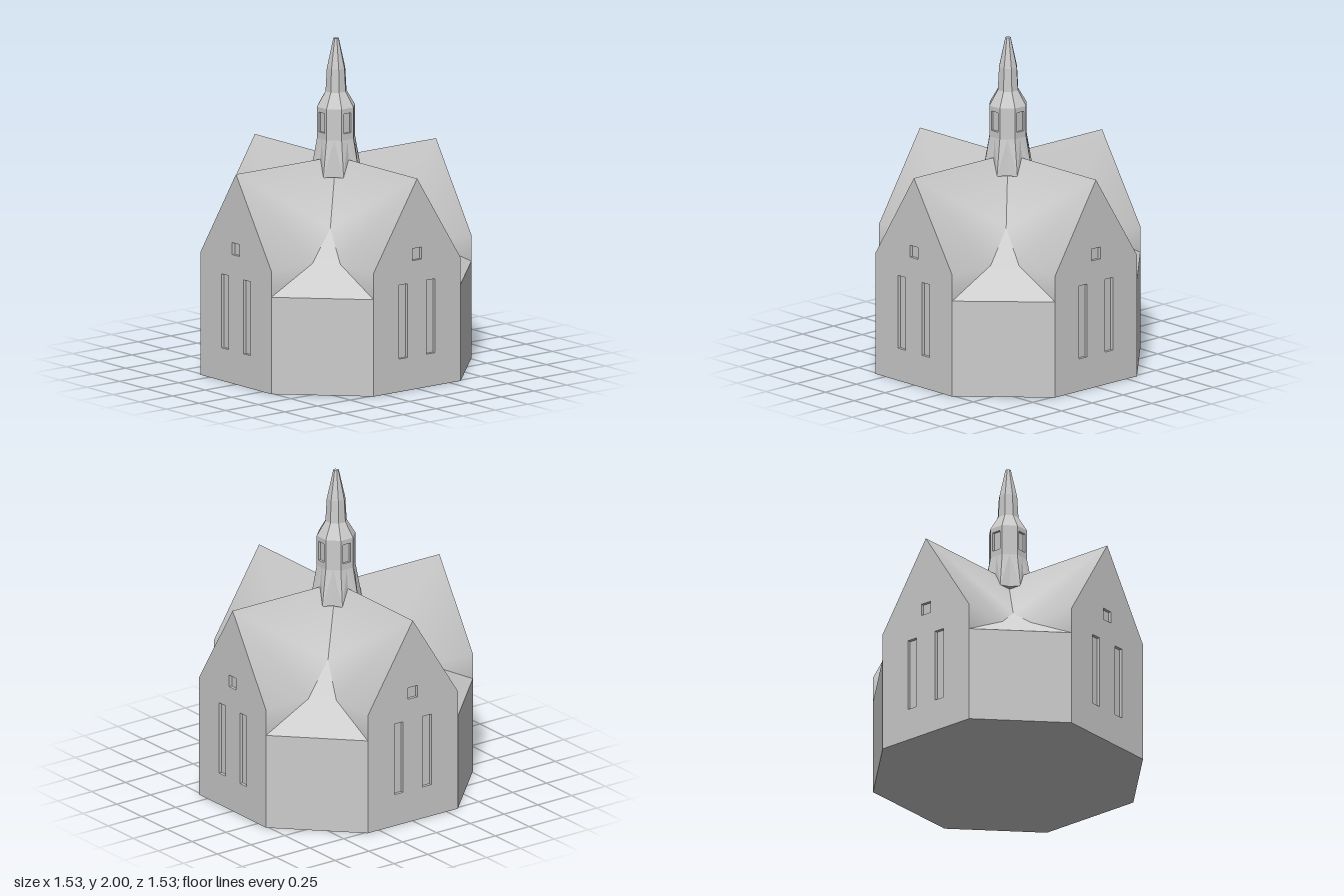
import * as THREE from 'three';
import { toCreasedNormals } from 'three/addons/utils/BufferGeometryUtils.js';

const HALF = 0.333, OUT = 0.765;              // gable half width, distance from the centre
const EAVE = 0.75, RIDGE = 1.28, LOW = 0.59;  // wing eave, ridge, corner eave

const stone = new THREE.MeshStandardMaterial({ color: 0xcccccc });
stone.name = 'paleGrey';

function mesh(name, geometry) {
  const m = new THREE.Mesh(geometry, stone);
  m.name = name;
  return m;
}

function fromTriangles(points) {
  const g = new THREE.BufferGeometry().setFromPoints(points);
  g.computeVertexNormals();
  return g;
}

// Fan of triangles turned to face away from the middle of the building
function fan(out, pts) {
  const mid = new THREE.Vector3(0, 0.3, 0);
  const centre = pts.reduce((s, p) => s.add(p), new THREE.Vector3()).divideScalar(pts.length);
  const n = new THREE.Vector3();
  for (let i = 1; i < pts.length - 1; i++) {
    n.add(pts[i].clone().sub(pts[0]).cross(pts[i + 1].clone().sub(pts[0])));
  }
  const flip = n.dot(centre.sub(mid)) < 0;
  for (let i = 1; i < pts.length - 1; i++) {
    out.push(pts[0], ...(flip ? [pts[i + 1], pts[i]] : [pts[i], pts[i + 1]]));
  }
}

// Flat wall with rectangular window recesses; windows are [x0, x1, y0, y1]
function windowWall(name, outline, windows, z, depth) {
  const group = new THREE.Group();
  group.name = name;
  const shape = new THREE.Shape(outline.map(([x, y]) => new THREE.Vector2(x, y)));
  for (const [x0, x1, y0, y1] of windows) {
    shape.holes.push(new THREE.Path([[x0, y0], [x0, y1], [x1, y1], [x1, y0]]
      .map(([x, y]) => new THREE.Vector2(x, y))));
    // Inside of a box without its front
    const box = new THREE.BoxGeometry(x1 - x0, y1 - y0, depth);
    const idx = Array.from(box.index.array);
    idx.splice(24, 6);
    box.setIndex(idx.reverse());
    box.clearGroups();
    box.computeVertexNormals();
    const recess = mesh('windowRecess', box);
    recess.position.set((x0 + x1) / 2, (y0 + y1) / 2, z - depth / 2);
    group.add(recess);
  }
  const wall = mesh('wallFace', new THREE.ShapeGeometry(shape));
  wall.position.z = z;
  group.add(wall);
  return group;
}

// Cross-gabled roof with low hips over the four corners
function roofGeometry() {
  const tris = [];
  const v = (x, y, z) => new THREE.Vector3(x, y, z);
  const up = v(0, 1, 0);
  for (let q = 0; q < 4; q++) {
    const turn = (pts) => pts.map((p) => p.clone().applyAxisAngle(up, q * Math.PI / 2));
    for (const s of [1, -1]) {
      const meet = v(s * HALF, EAVE, 0.451);
      const eave = v(s * HALF, EAVE, OUT);
      fan(tris, turn([v(0, RIDGE, OUT), eave, meet, v(s * 0.23, 0.914, 0.23), v(0, RIDGE, 0)]));
      fan(tris, turn([v(s * HALF, LOW, OUT), eave, meet]));  // small side wall
    }
    fan(tris, turn([v(0.23, 0.914, 0.23), v(HALF, EAVE, 0.451), v(HALF, LOW, OUT),
      v(OUT, LOW, HALF), v(0.451, EAVE, HALF)]));
  }
  return toCreasedNormals(fromTriangles(tris), 0.73);
}

// Four low diagonal walls and the octagonal floor
function baseGeometry() {
  const tris = [], floor = [];
  for (let q = 0; q < 4; q++) {
    const a = q * Math.PI / 2, up = new THREE.Vector3(0, 1, 0);
    const at = (x, y, z) => new THREE.Vector3(x, y, z).applyAxisAngle(up, a);
    fan(tris, [at(HALF, 0, OUT), at(OUT, 0, HALF), at(OUT, LOW, HALF), at(HALF, LOW, OUT)]);
    floor.push(at(HALF, 0, OUT), at(OUT, 0, HALF));
  }
  fan(tris, floor);
  return fromTriangles(tris);
}

// Eight-sided spire; each ring is [height, corner radius, mid-face radius]
function spireGeometry() {
  const c = Math.cos(Math.PI / 8);
  const rings = [[1.18, 0.158, 0.127], [1.4, 0.118], [1.59, 0.118], [1.68, 0.065],
    [1.82, 0.057], [2, 0.017]];
  const point = (k, i) => {
    const [y, r, mid = r * c] = rings[k];
    const a = i * Math.PI / 8, d = i % 2 ? r : mid;  // even steps are mid-face
    return new THREE.Vector3(d * Math.sin(a), y, d * Math.cos(a));
  };
  const tris = [], last = rings.length - 1;
  for (let i = 0; i < 16; i++) {
    for (let k = 0; k < last; k++) {
      const axial = [0, 3].includes(i % 4);
      if (k === 1 && axial) continue;  // filled by the belfry windows
      const a = point(k, i), b = point(k, i + 1), d = point(k + 1, i + 1), e = point(k + 1, i);
      if (i % 2) tris.push(a, b, d, a, d, e);
      else tris.push(a, b, e, b, d, e);
    }
    tris.push(new THREE.Vector3(0, 2, 0), point(last, i), point(last, i + 1));
    tris.push(new THREE.Vector3(0, 1.18, 0), point(0, i + 1), point(0, i));
  }
  return fromTriangles(tris);
}

export function createModel() {
  const model = new THREE.Group();
  model.name = 'church';
  model.add(mesh('roof', roofGeometry()), mesh('cornerWallsAndFloor', baseGeometry()),
    mesh('spire', spireGeometry()));

  const gable = [[-HALF, 0], [HALF, 0], [HALF, EAVE], [0, RIDGE], [-HALF, EAVE]];
  const gableWindows = [[-0.137, -0.072, 0.2, 0.65], [0.072, 0.137, 0.2, 0.65],
    [-0.035, 0.035, 0.785, 0.858]];
  const w = 0.118 * Math.sin(Math.PI / 8), apothem = 0.118 * Math.cos(Math.PI / 8);
  const panel = [[-w, 1.4], [w, 1.4], [w, 1.59], [-w, 1.59]];

  for (let q = 0; q < 4; q++) {
    const wall = windowWall('gableWall', gable, gableWindows, OUT, 0.02);
    const belfry = windowWall('belfryWindow', panel, [[-0.028, 0.028, 1.44, 1.56]], apothem, 0.015);
    wall.rotation.y = belfry.rotation.y = q * Math.PI / 2;
    model.add(wall, belfry);
  }
  return model;
}
